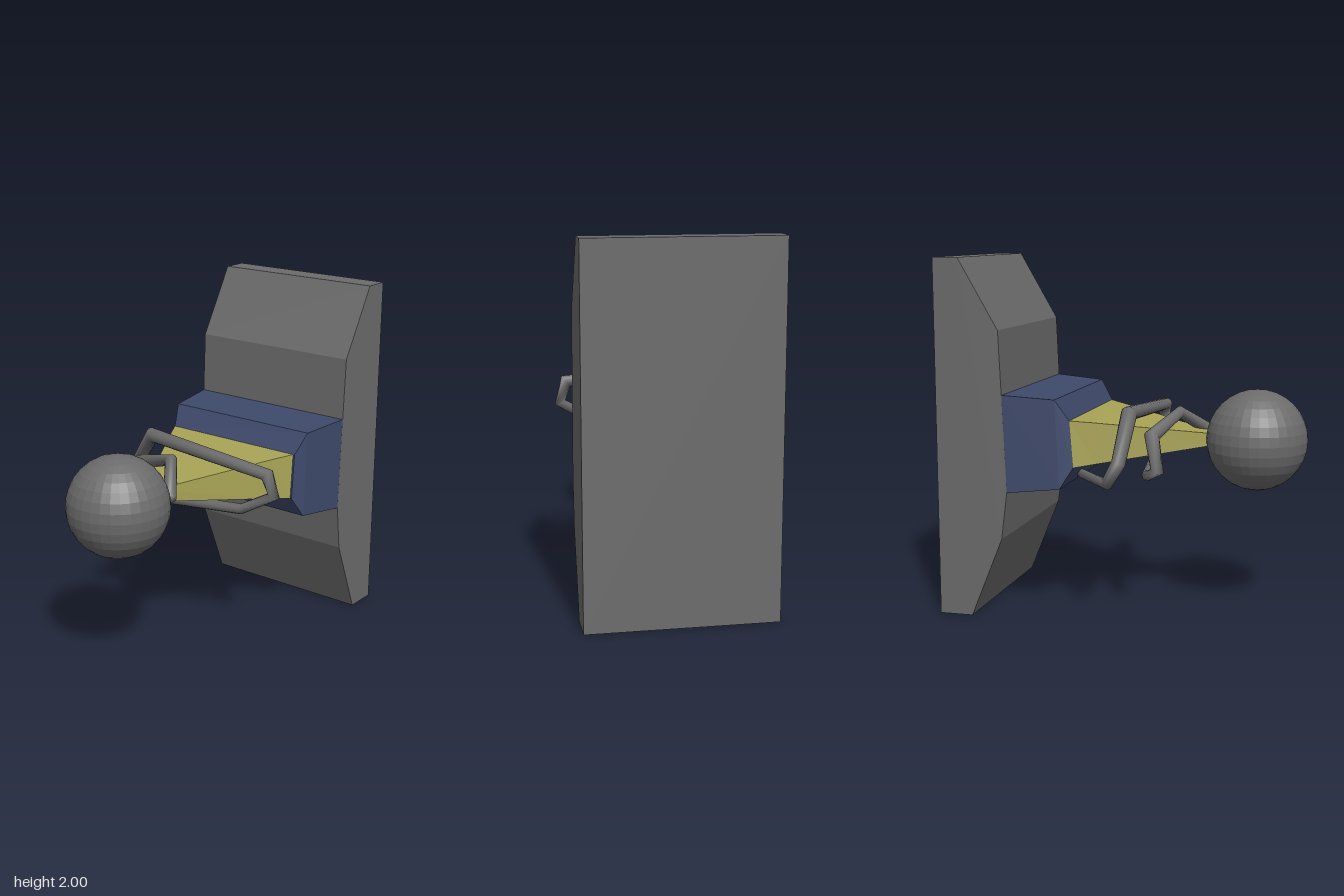
import * as THREE from 'three';

const material = (color, flatShading = true) => new THREE.MeshStandardMaterial({ color, flatShading });

// Closed solid through a row of rings, each wound counter-clockwise about the direction of travel
function loft(rings) {
  const n = rings[0].length;
  const last = (rings.length - 1) * n;
  const index = [];
  for (let r = 0; r < rings.length - 1; r++) {
    for (let i = 0; i < n; i++) {
      const a = r * n + i;
      const b = r * n + (i + 1) % n;
      index.push(a, b, b + n, a, b + n, a + n);
    }
  }
  for (let i = 1; i < n - 1; i++) {
    index.push(0, i + 1, i, last, last + i, last + i + 1);
  }
  const geometry = new THREE.BufferGeometry().setFromPoints(rings.flat());
  geometry.setIndex(index);
  geometry.computeVertexNormals();
  return geometry;
}

// Four-cornered section across x, which may lean between its top and bottom edge
function section(xTop, yTop, xBottom, yBottom, zBack, zFront) {
  return [
    new THREE.Vector3(xTop, yTop, zFront),
    new THREE.Vector3(xBottom, yBottom, zFront),
    new THREE.Vector3(xBottom, yBottom, zBack),
    new THREE.Vector3(xTop, yTop, zBack),
  ];
}

// Bent rope: each stop is x, y, z, radius
function ropeGeometry(stops, sides = 12) {
  const points = stops.map(([x, y, z]) => new THREE.Vector3(x, y, z));
  const normal = new THREE.Vector3(0, 1, 0);
  const rings = points.map((p, i) => {
    const before = points[Math.max(i - 1, 0)];
    const after = points[Math.min(i + 1, points.length - 1)];
    const tangent = p.clone().sub(before).normalize()
      .add(after.clone().sub(p).normalize()).normalize();
    normal.addScaledVector(tangent, -normal.dot(tangent)).normalize();
    const side = tangent.clone().cross(normal);
    return Array.from({ length: sides }, (_, k) => {
      const t = (k / sides) * Math.PI * 2;
      return p.clone()
        .addScaledVector(normal, Math.cos(t) * stops[i][3])
        .addScaledVector(side, Math.sin(t) * stops[i][3]);
    });
  });
  return loft(rings);
}

export function createModel() {
  const group = new THREE.Group();
  const darkGrey = 0x6b6b6b;
  const add = (name, geometry, mat) => {
    const mesh = new THREE.Mesh(geometry, mat);
    mesh.name = name;
    group.add(mesh);
    return mesh;
  };

  // Tall slab with a bevelled inner face
  const profile = new THREE.Shape([
    [1, 0], [1, 2], [0.855, 2], [0.63, 1.61], [0.615, 1.255],
    [0.593, 0.715], [0.627, 0.45], [0.81, 0],
  ].map(([x, y]) => new THREE.Vector2(x, y)));
  const slab = new THREE.ExtrudeGeometry(profile, { depth: 1.03, bevelEnabled: false });
  add('slab', slab.translate(0, 0, -0.508), material(darkGrey));

  // Blue collar
  add('collar', loft([
    section(0.25, 1.12, 0.23, 0.86, -0.44, 0.44),
    section(0.325, 1.237, 0.3, 0.743, -0.475, 0.475),
    section(0.617, 1.257, 0.595, 0.715, -0.508, 0.522),
  ]), material(0x3e496a));

  // Yellow tapering neck
  add('neck', loft([
    section(-0.46, 1.02, -0.46, 0.95, -0.065, 0.02),
    section(0.13, 1.105, 0.12, 0.875, -0.38, 0.36),
    section(0.25, 1.12, 0.23, 0.86, -0.44, 0.43),
  ]), material(0xa7a255));

  // Ball at the narrow end
  const ball = add('ball', new THREE.SphereGeometry(0.283, 32, 16), material(darkGrey));
  ball.position.set(-0.717, 0.99, -0.028);

  // Rope coiled twice around the neck
  add('rope', ropeGeometry([
    [-0.46, 0.99, 0.115, 0.037],
    [-0.275, 1.13, -0.03, 0.035],
    [-0.185, 1.035, -0.33, 0.043],
    [-0.25, 0.87, -0.475, 0.036],
    [-0.165, 0.82, -0.35, 0.031],
    [-0.075, 0.86, 0.31, 0.03],
    [-0.06, 0.98, 0.52, 0.034],
    [-0.075, 1.1, 0.485, 0.04],
    [-0.063, 1.16, -0.35, 0.045],
    [-0.045, 0.91, -0.515, 0.04],
    [0.02, 0.795, -0.515, 0.034],
    [0.3, 0.775, -0.12, 0.026],
  ]), material(darkGrey, false));

  return group;
}
